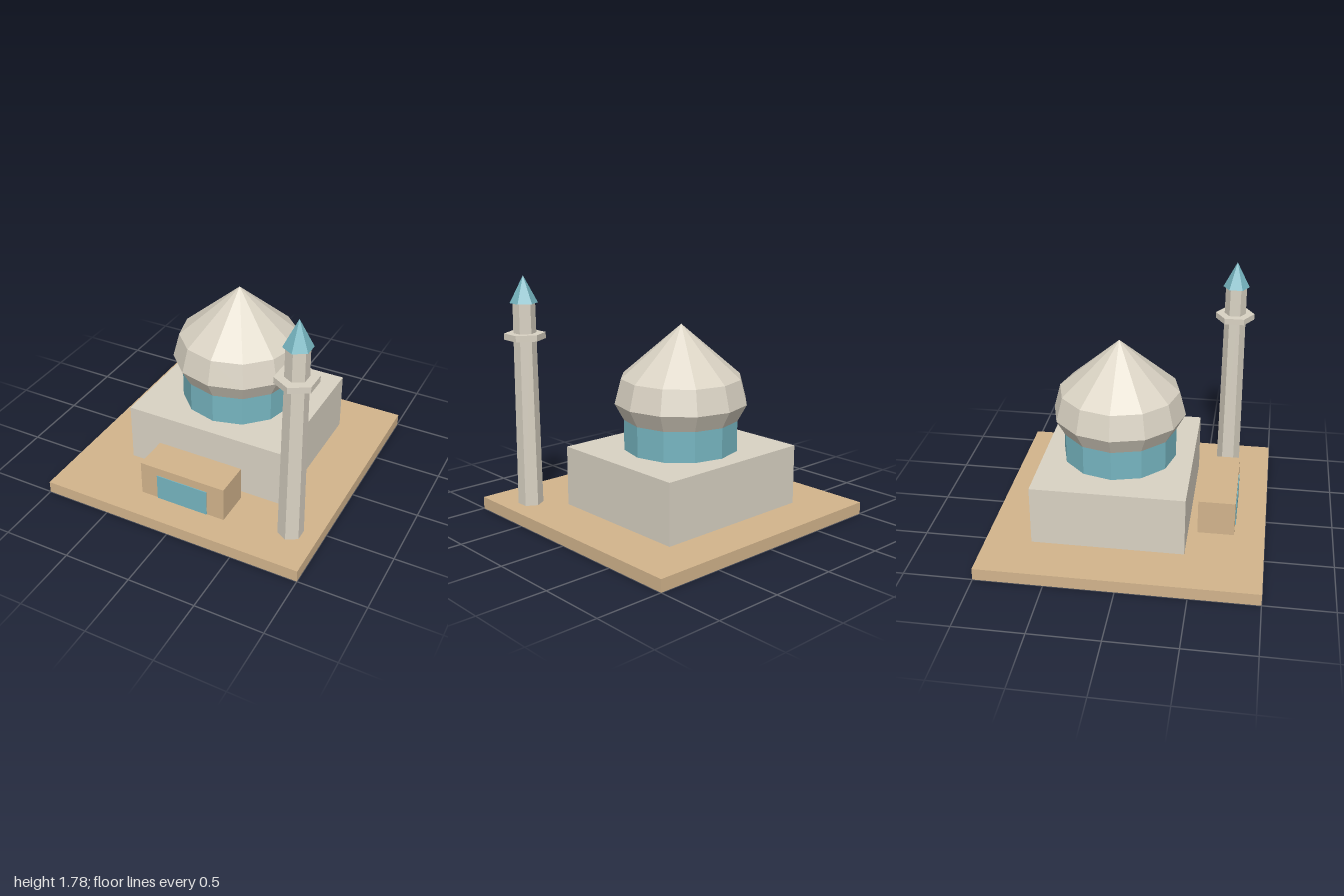
import * as THREE from 'three';

const flat = (name, color) => {
  const m = new THREE.MeshStandardMaterial({ color, flatShading: true });
  m.name = name;
  return m;
};

export function createModel() {
  const sand = flat('sand', 0xd2b48c);
  const stone = flat('stone', 0xd9d2c3);
  const teal = flat('teal', 0x76b5c0);

  const model = new THREE.Group();
  model.name = 'domedBuilding';

  const add = (name, geometry, material, x, y, z, parent = model) => {
    const mesh = new THREE.Mesh(geometry, material);
    mesh.name = name;
    mesh.position.set(x, y, z);
    parent.add(mesh);
    return mesh;
  };
  // Box and tapered prism given by their bottom and top heights
  const box = (name, mat, w, y0, y1, d, z) =>
    add(name, new THREE.BoxGeometry(w, y1 - y0, d), mat, 0, (y0 + y1) / 2, z);
  const prism = (name, mat, rTop, rBottom, y0, y1, sides, x, z, parent) =>
    add(name, new THREE.CylinderGeometry(rTop, rBottom, y1 - y0, sides), mat, x, (y0 + y1) / 2, z, parent);

  // Ground slab and main hall
  const hallZ = -0.112;
  box('baseSlab', sand, 2, 0, 0.09, 2, 0);
  box('hall', stone, 1.244, 0.09, 0.535, 1.106, hallZ);

  // Drum and twelve-sided dome
  prism('drum', teal, 0.42, 0.42, 0.535, 0.76, 12, 0, hallZ);
  const profile = [[0, 0.757], [0.42, 0.757], [0.487, 0.88], [0.44, 1.06], [0, 1.44]]
    .map(([r, y]) => new THREE.Vector2(r, y));
  add('dome', new THREE.LatheGeometry(profile, 12), stone, 0, 0, hallZ);

  // Entrance block with a door plate on its front and back
  const porchZ = 0.643, porchDepth = 0.268;
  box('porch', sand, 0.667, 0.09, 0.355, porchDepth, porchZ);
  for (const side of [1, -1]) {
    box(side > 0 ? 'frontDoor' : 'backDoor', teal, 0.4, 0.09, 0.29, 0.006,
      porchZ + side * (porchDepth / 2 + 0.003));
  }

  // Six-sided tower with balcony and pointed roof
  const tower = new THREE.Group();
  tower.name = 'tower';
  tower.position.set(0.8, 0, 0.667);
  model.add(tower);
  prism('towerShaft', stone, 0.08, 0.092, 0.09, 1.585, 6, 0, 0, tower);
  prism('towerBalcony', stone, 0.148, 0.148, 1.325, 1.37, 6, 0, 0, tower);
  add('towerRoof', new THREE.ConeGeometry(0.1, 0.195, 6), teal, 0, 1.6825, 0, tower);

  return model;
}
